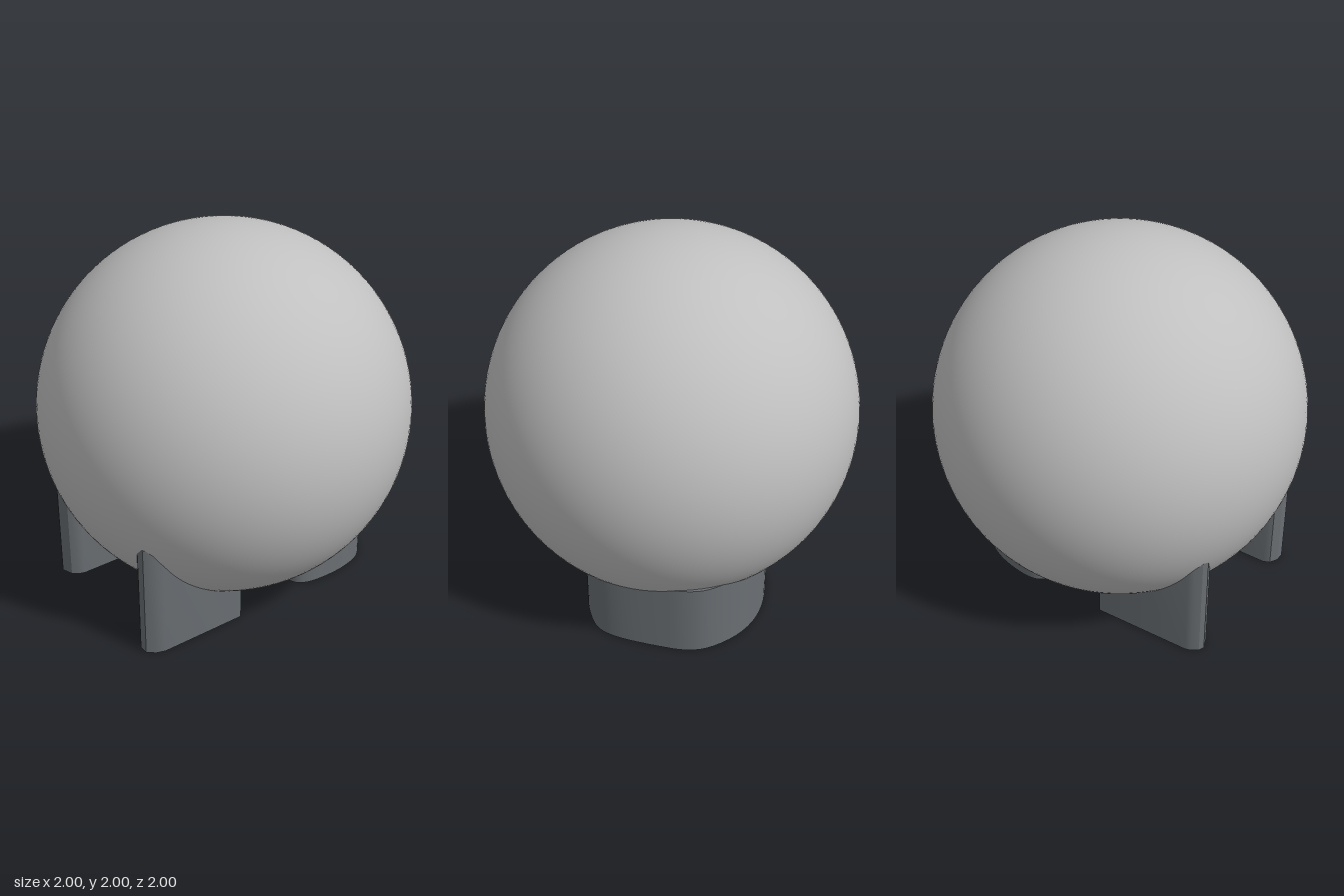
import * as THREE from 'three';
import { toCreasedNormals } from 'three/addons/utils/BufferGeometryUtils.js';

// Raises a ground outline of [x, z] points straight up to the given height
function raise(outline, height) {
  const shape = new THREE.Shape(outline.map(([x, z]) => new THREE.Vector2(x, -z)));
  const geo = new THREE.ExtrudeGeometry(shape, { depth: height, bevelEnabled: false });
  geo.rotateX(-Math.PI / 2);
  return toCreasedNormals(geo, 0.5);
}

// Rounds a closed outline with a smooth curve
function smooth(outline, count) {
  const points = outline.map(([x, z]) => new THREE.Vector3(x, 0, z));
  const curve = new THREE.CatmullRomCurve3(points, true, 'centripetal');
  return curve.getPoints(count).slice(0, -1).map((p) => [p.x, p.z]);
}

export function createModel() {
  const group = new THREE.Group();
  const paleGrey = new THREE.MeshStandardMaterial({ color: 0xc0c0c0 });
  paleGrey.name = 'paleGrey';
  const slateGrey = new THREE.MeshStandardMaterial({ color: 0x6a6f73 });
  slateGrey.name = 'slateGrey';

  const add = (name, geo, material) => {
    const mesh = new THREE.Mesh(geo, material);
    mesh.name = name;
    group.add(mesh);
    return mesh;
  };

  // Ball
  add('ball', new THREE.SphereGeometry(0.998, 96, 64), paleGrey).position.y = 1.002;

  // Front legs: straight fins with rounded front tips, sunk into the ball
  add('leftFrontLeg', raise([
    [0.34, 0.25], [0.34, 0.76], [0.355, 0.795], [0.4, 0.82],
    [0.45, 0.82], [0.485, 0.78], [0.5, 0.73], [0.5, 0.25],
  ], 0.64), slateGrey);
  add('rightFrontLeg', raise([
    [-0.5, 0.2], [-0.485, 0.74], [-0.475, 0.77], [-0.45, 0.805], [-0.42, 0.818],
    [-0.36, 0.795], [-0.335, 0.765], [-0.325, 0.73], [-0.325, 0.2],
  ], 0.62), slateGrey);

  // Rear support: a thick U whose round-ended arms point forward
  const rear = [
    [0.37, -0.155], [0.44, -0.175], [0.475, -0.23], [0.49, -0.35], [0.48, -0.5],
    [0.44, -0.62], [0.36, -0.69], [0.1, -0.79], [-0.02, -0.82], [-0.13, -0.815],
    [-0.3, -0.73], [-0.42, -0.6], [-0.49, -0.42], [-0.5, -0.24], [-0.45, -0.18],
    [-0.37, -0.175], [-0.335, -0.22], [-0.31, -0.32], [-0.28, -0.45], [-0.2, -0.57],
    [-0.06, -0.63], [0.1, -0.595], [0.24, -0.535], [0.3, -0.42], [0.31, -0.25],
    [0.325, -0.18],
  ];
  add('rearSupport', raise(smooth(rear, 104), 0.42), slateGrey);

  return group;
}
